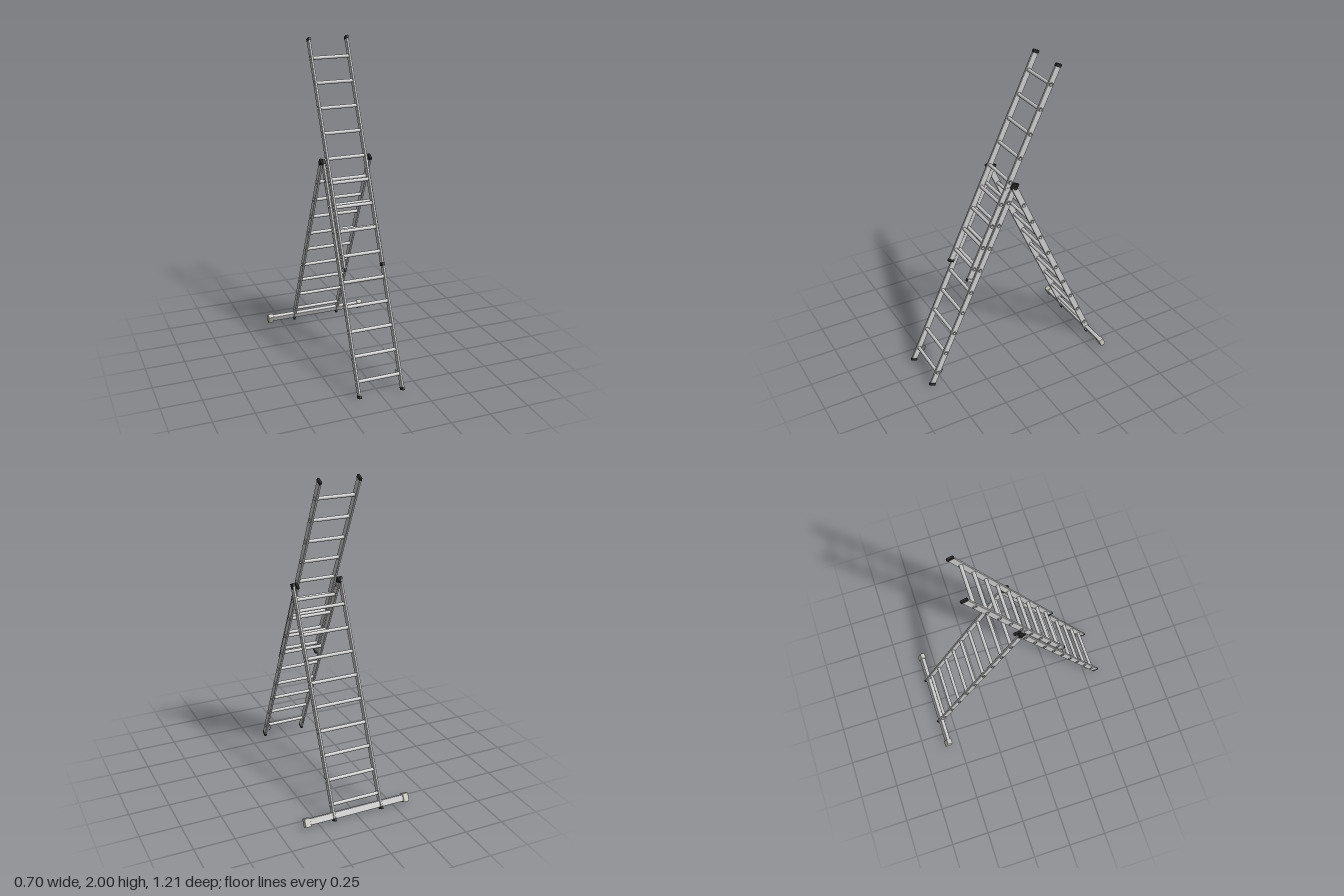
import * as THREE from 'three';
import { RoundedBoxGeometry } from 'three/addons/geometries/RoundedBoxGeometry.js';

const metal = new THREE.MeshStandardMaterial({ color: 0xcccccc, side: THREE.DoubleSide });
const rubber = new THREE.MeshStandardMaterial({ color: 0x2a2a2a });
const plastic = new THREE.MeshStandardMaterial({ color: 0xc9c8c0 });

const DEPTH = 0.039, THICK = 0.013, RUNG_R = 0.011, BORE_R = 0.0085;

function add(parent, name, geometry, material, x = 0, y = 0, z = 0) {
  const mesh = new THREE.Mesh(geometry, material);
  mesh.name = name;
  mesh.position.set(x, y, z);
  parent.add(mesh);
  return mesh;
}

// Side rail along +y, drilled through wherever a rung passes
function railGeometry(length, rungs) {
  const b = 0.0015, h = DEPTH / 2 - b;
  const shape = new THREE.Shape();
  shape.moveTo(-h, 0);
  shape.lineTo(h, 0);
  shape.lineTo(h, length);
  shape.lineTo(-h, length);
  shape.closePath();
  for (const t of rungs) {
    const hole = new THREE.Path();
    hole.absarc(0, t, RUNG_R + b, 0, Math.PI * 2, true);
    shape.holes.push(hole);
  }
  const g = new THREE.ExtrudeGeometry(shape, {
    depth: THICK - 2 * b, bevelThickness: b, bevelSize: b, bevelSegments: 1, curveSegments: 8,
  });
  g.translate(0, 0, -(THICK - 2 * b) / 2);
  g.rotateY(Math.PI / 2);
  return g;
}

// Hollow rung across x, open at both ends
function rungGeometry(half) {
  const p = [[BORE_R, -half], [RUNG_R, -half], [RUNG_R, half], [BORE_R, half], [BORE_R, -half]];
  const parts = new THREE.LatheGeometry(p.map(([r, y]) => new THREE.Vector2(r, y)), 16);
  parts.rotateZ(Math.PI / 2);
  return parts;
}

// One ladder section: two rails, rungs and end caps, in its own upright frame
function ladder(name, { x, length, rungs, y, z, tilt }) {
  const g = new THREE.Group();
  g.name = name;
  const rail = railGeometry(length, rungs);
  const cap = new RoundedBoxGeometry(THICK + 0.003, 0.02, DEPTH + 0.003, 2, 0.003);
  for (const s of [-1, 1]) {
    add(g, 'sideRail', rail, metal, s * x, 0, 0);
    add(g, 'bottomCap', cap, rubber, s * x, 0.007, 0);
    add(g, 'topCap', cap, rubber, s * x, length - 0.007, 0);
  }
  const rung = rungGeometry(x + THICK / 2 + 0.003);
  for (const t of rungs) add(g, 'rung', rung, metal, 0, t, 0);
  g.position.set(0, y, z);
  g.rotation.x = tilt;
  return g;
}

// Rung spacing widens slightly above the fifth rung
const rungsFrom = (start, low, high) =>
  Array.from({ length: 9 }, (_, i) => start + Math.min(i, 4) * low + Math.max(i - 4, 0) * high);

export function createModel() {
  const model = new THREE.Group();
  model.name = 'combinationLadder';

  const front = ladder('frontLadder', {
    x: 0.1385, length: 1.43, rungs: rungsFrom(0.097, 0.147, 0.155), y: 0.012, z: 0.585, tilt: -0.435,
  });
  const upper = ladder('upperLadder', {
    x: 0.1225, length: 1.418, rungs: rungsFrom(0.087, 0.147, 0.155), y: 0.709, z: 0.3, tilt: -0.435,
  });
  const back = ladder('backLadder', {
    x: 0.157, length: 1.43, rungs: rungsFrom(0.097, 0.146, 0.146), y: 0.012, z: -0.588, tilt: 0.432,
  });
  model.add(front, upper, back);

  // Stabiliser bar with block feet
  add(back, 'stabiliserBar', new RoundedBoxGeometry(0.64, 0.04, 0.026, 2, 0.003), metal, 0, 0.03, 0);
  const foot = new RoundedBoxGeometry(0.038, 0.054, 0.036, 2, 0.004);
  for (const s of [-1, 1]) add(back, 'stabiliserFoot', foot, plastic, s * 0.329, 0.029, 0);

  // Catch hooks behind the lowest front rung
  const hookCurve = new THREE.CatmullRomCurve3([
    [0, 0.018, -0.015], [0, 0.022, -0.032], [0, 0.008, -0.04], [0, -0.012, -0.036], [0, -0.018, -0.028],
  ].map((p) => new THREE.Vector3(...p)));
  const hook = new THREE.TubeGeometry(hookCurve, 12, 0.003, 6);
  // Guide brackets holding the upper section against the front one
  const guide = new RoundedBoxGeometry(0.005, 0.02, 0.05, 1, 0.001);
  // Hinge pins joining front and back sections
  const pin = new THREE.CylinderGeometry(0.014, 0.014, 0.036, 16).rotateZ(Math.PI / 2);
  for (const s of [-1, 1]) {
    add(front, 'catchHook', hook, metal, s * 0.127, 0.097, 0);
    for (const t of [0.76, 1.38]) add(front, 'guideBracket', guide, metal, s * 0.1305, t, 0.025);
    add(model, 'hingePin', pin, rubber, s * 0.149, 1.295, -0.002);
  }
  return model;
}
